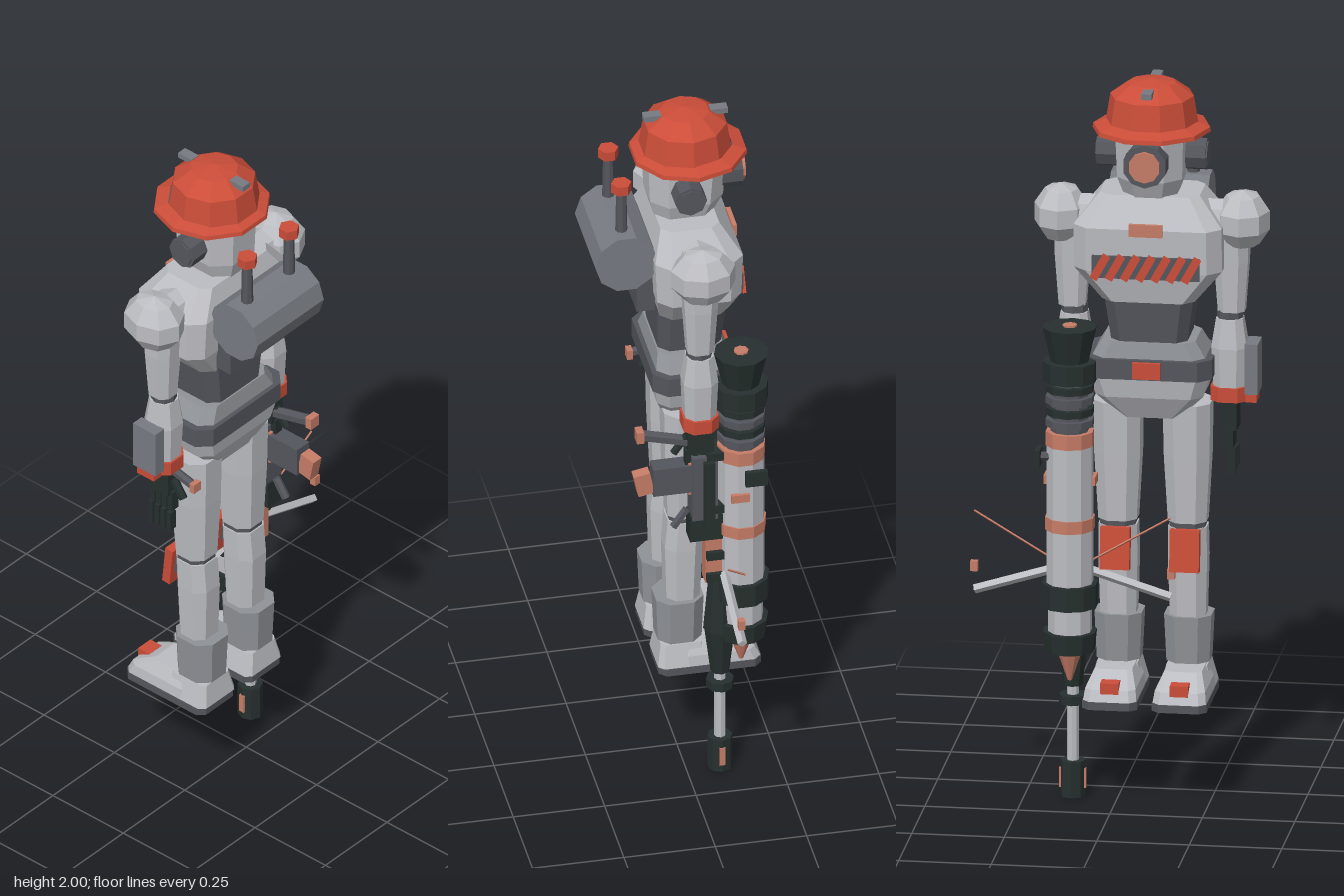
import * as THREE from 'three';

const mat = (name, color, flat = true) => {
  const m = new THREE.MeshStandardMaterial({ color, flatShading: flat });
  m.name = name;
  return m;
};

export function createModel() {
  const light = mat('light armour', 0xbcbdc2), grey = mat('mid grey', 0x8f9297);
  const steel = mat('steel', 0x777b82), dark = mat('dark grey', 0x54565d);
  const black = mat('green black', 0x26302e), red = mat('red', 0xcb4d39);
  const salmon = mat('salmon', 0xc67c67);
  const model = new THREE.Group();
  const CX = -0.085; // centre line of the figure

  const add = (name, geo, m, x = 0, y = 0, z = 0) => {
    const mesh = new THREE.Mesh(geo, m);
    mesh.name = name;
    mesh.position.set(x, y, z);
    model.add(mesh);
    return mesh;
  };
  const box = (name, m, x, y, z, w, h, d) => add(name, new THREE.BoxGeometry(w, h, d), m, x, y, z);
  const cyl = (name, m, x, y, z, rTop, rBot, h, n = 8) =>
    add(name, new THREE.CylinderGeometry(rTop, rBot, h, n), m, x, y, z);
  // straight bar between two points
  const bar = (name, m, a, b, r, n = 6) => {
    const p = new THREE.Vector3(...a), q = new THREE.Vector3(...b);
    const mesh = cyl(name, m, 0, 0, 0, r, r, p.distanceTo(q), n);
    mesh.position.copy(p).lerp(q, 0.5);
    mesh.quaternion.setFromUnitVectors(new THREE.Vector3(0, 1, 0), q.sub(p).normalize());
    return mesh;
  };
  // stack of chamfered rectangles, each [y, halfWidth, halfDepth, zCentre], bottom to top
  const loft = (name, m, x, sections, cut = 0.35) => {
    const rings = sections.map(([y, w, d, cz = 0]) => {
      const c = Math.min(w, d) * cut * 2, u = w - c / 1.4, v = d - c / 1.4;
      return [[w, -v], [w, v], [u, d], [-u, d], [-w, v], [-w, -v], [-u, -d], [u, -d]]
        .map(([px, pz]) => [px, y, pz + cz]);
    });
    const pos = [], tri = (...p) => p.forEach(k => pos.push(...k));
    const mid = s => [0, s[0], s[3] || 0];
    const n = rings.length - 1;
    for (let i = 0; i < 8; i++) {
      const j = (i + 1) % 8;
      for (let k = 0; k < n; k++) {
        const lo = rings[k], hi = rings[k + 1];
        tri(lo[i], hi[i], hi[j], lo[i], hi[j], lo[j]);
      }
      tri(mid(sections[n]), rings[n][j], rings[n][i]);
      tri(mid(sections[0]), rings[0][i], rings[0][j]);
    }
    const g = new THREE.BufferGeometry();
    g.setAttribute('position', new THREE.Float32BufferAttribute(pos, 3));
    g.computeVertexNormals();
    return add(name, g, m, x);
  };

  // helmet
  const lathe = pts => new THREE.LatheGeometry(pts.map(p => new THREE.Vector2(...p)), 10, Math.PI / 2);
  add('helmetDome', lathe([[0.125, 1.88], [0.113, 1.955], [0.065, 1.99], [0, 2]]), red, CX, 0, -0.04);
  add('helmetBrim', lathe([[0, 1.865], [0.16, 1.86], [0.158, 1.872], [0.12, 1.885]]), red, CX, 0, -0.048);
  for (const z of [-0.131, 0.051]) box('helmetClip', steel, CX, 1.98, z, 0.028, 0.016, 0.048);

  // head, ears and single lens
  loft('head', light, CX, [[1.68, 0.07, 0.08, -0.03], [1.735, 0.088, 0.1, -0.035], [1.87, 0.092, 0.108, -0.038]]);
  for (const s of [-1, 1]) {
    cyl('ear', dark, CX + s * 0.12, 1.79, -0.026, 0.044, 0.044, 0.055).rotation.z = Math.PI / 2;
    cyl('earCap', dark, CX + s * 0.145, 1.79, -0.026, 0.036, 0.036, 0.012).rotation.z = Math.PI / 2;
  }
  cyl('lensRing', dark, CX, 1.795, -0.16, 0.06, 0.06, 0.055, 10).rotation.x = Math.PI / 2;
  cyl('lens', salmon, CX, 1.795, -0.19, 0.043, 0.043, 0.016, 10).rotation.x = Math.PI / 2;

  // torso
  loft('chest', light, CX, [[1.40, 0.125, 0.095, -0.045], [1.49, 0.2, 0.115, -0.045],
    [1.61, 0.2, 0.12, -0.045], [1.69, 0.135, 0.08, -0.03]], 0.22);
  loft('abdomen', dark, CX, [[1.26, 0.1, 0.085, -0.035], [1.42, 0.122, 0.095, -0.04]], 0.22);
  loft('waist', grey, CX, [[1.235, 0.155, 0.1, -0.035], [1.285, 0.125, 0.09, -0.035]], 0.22);
  loft('belt', dark, CX, [[1.185, 0.172, 0.112, -0.035], [1.24, 0.172, 0.112, -0.035]], 0.22);
  loft('hips', light, CX, [[1.065, 0.08, 0.065, -0.03], [1.13, 0.145, 0.095, -0.035],
    [1.19, 0.165, 0.105, -0.035]], 0.22);
  box('buckle', red, CX, 1.213, -0.15, 0.075, 0.045, 0.016);
  box('namePlate', salmon, CX, 1.61, -0.167, 0.09, 0.034, 0.012);
  box('stripePanel', dark, CX, 1.505, -0.164, 0.29, 0.062, 0.012);
  for (let i = 0; i < 7; i++) {
    const s = box('stripe', red, CX + (i - 3) * 0.041, 1.505, -0.172, 0.022, 0.075, 0.009);
    s.rotation.z = 0.5;
  }

  // backpack drum and antennae
  cyl('backpackDrum', steel, CX, 1.603, 0.147, 0.086, 0.086, 0.268, 10).rotation.z = Math.PI / 2;
  box('backpackMount', dark, CX, 1.53, 0.09, 0.22, 0.2, 0.05);
  for (const x of [-0.17, 0]) {
    cyl('antenna', dark, x, 1.74, 0.152, 0.014, 0.017, 0.15);
    cyl('antennaCap', red, x, 1.823, 0.152, 0.028, 0.028, 0.028, 6);
  }

  // arms
  for (const s of [-1, 1]) {
    const ax = CX + s * 0.245, wx = CX + s * 0.21;
    const sh = add('shoulder', new THREE.SphereGeometry(0.09, 8, 5), light, ax, 1.615, -0.038);
    sh.scale.set(0.85, 0.92, 1.03);
    bar('shoulderJoint', light, [CX + s * 0.12, 1.61, -0.04], [ax, 1.61, -0.04], 0.06, 8);
    loft('upperArm', light, CX + s * 0.215, [[1.36, 0.036, 0.036, -0.035], [1.5, 0.046, 0.045, -0.035],
      [1.58, 0.046, 0.05, -0.035]]);
    cyl('elbow', dark, wx, 1.348, -0.035, 0.036, 0.036, 0.03);
    loft('forearm', light, wx, [[1.14, 0.042, 0.042, -0.035], [1.26, 0.048, 0.047, -0.035],
      [1.34, 0.036, 0.036, -0.035]]);
    loft('cuff', red, wx, [[1.112, 0.05, 0.048, -0.035], [1.152, 0.05, 0.048, -0.035]]);
    // hand with finger segments
    box('palm', black, wx, 1.07, -0.035, 0.045, 0.08, 0.07);
    for (let f = 0; f < 4; f++) {
      const z = -0.065 + f * 0.021;
      box('fingerBase', black, wx, 1.01, z, 0.026, 0.06, 0.016);
      box('fingerTip', black, wx + s * 0.008, 0.945, z, 0.022, 0.075 - f * 0.006, 0.014);
    }
    bar('thumb', black, [wx, 1.08, 0], [wx, 1.03, 0.035], 0.012);
  }
  box('forearmPod', steel, -0.357, 1.205, -0.035, 0.036, 0.14, 0.08);
  box('podFoot', red, -0.355, 1.122, -0.035, 0.03, 0.024, 0.06);
  bar('wristNozzle', dark, [-0.288, 1.1, 0], [-0.288, 1.085, 0.065], 0.013);
  box('nozzleTip', salmon, -0.288, 1.084, 0.07, 0.028, 0.028, 0.016);

  // legs
  for (const x of [-0.18, 0.008]) {
    loft('thigh', light, x, [[0.765, 0.052, 0.052, -0.02], [0.95, 0.062, 0.062, -0.022],
      [1.1, 0.064, 0.068, -0.025]]);
    loft('kneeJoint', dark, x, [[0.745, 0.048, 0.048, -0.02], [0.77, 0.048, 0.048, -0.02]]);
    loft('shin', light, x, [[0.48, 0.048, 0.045, -0.01], [0.66, 0.053, 0.052, -0.012],
      [0.75, 0.052, 0.05, -0.018]]);
    box('kneePad', red, x, 0.695, -0.088, 0.08, 0.115, 0.026).rotation.x = 0.1;
    box('kneeStrut', dark, x, 0.7, -0.065, 0.05, 0.05, 0.03);
    loft('bootCuff', grey, x, [[0.37, 0.058, 0.06, 0], [0.5, 0.064, 0.065, 0]]);
    loft('shoeHeel', light, x, [[0.3, 0.072, 0.07, -0.005], [0.365, 0.055, 0.06, -0.005]], 0.15);
    loft('shoeToe', light, x, [[0.3, 0.072, 0.108, -0.107], [0.33, 0.068, 0.1, -0.1],
      [0.368, 0.05, 0.06, -0.07]], 0.18);
    loft('sole', dark, x, [[0.278, 0.074, 0.14, -0.077], [0.3, 0.074, 0.14, -0.077]], 0.18);
    box('toeClip', red, x, 0.33, -0.185, 0.05, 0.04, 0.04);
  }

  // launcher tube: [name, material, yBottom, yTop, rBottom, rTop]
  const tx = 0.122, tz = -0.15;
  [['muzzle', black, 1.235, 1.33, 0.052, 0.074], ['muzzleCollar', black, 1.18, 1.235, 0.074, 0.074],
    ['neckTube', dark, 1.04, 1.18, 0.052, 0.052], ['upperBand', salmon, 1.0, 1.04, 0.066, 0.066],
    ['barrel', light, 0.6, 1.0, 0.064, 0.064], ['middleBand', salmon, 0.765, 0.8, 0.068, 0.068],
    ['lowerCollar', black, 0.55, 0.615, 0.077, 0.077], ['lowerBarrel', light, 0.48, 0.55, 0.06, 0.06],
    ['endCollar', black, 0.425, 0.48, 0.068, 0.074], ['endCone', salmon, 0.34, 0.425, 0.006, 0.035],
  ].forEach(([name, m, a, b, r0, r1]) => cyl(name, m, tx, (a + b) / 2, tz, r1, r0, b - a, 10));
  for (let i = 0; i < 4; i++) cyl('bellowsRing', i % 2 ? black : dark, tx, 1.065 + i * 0.032, tz, 0.066, 0.066, 0.02, 10);
  cyl('muzzleBore', salmon, tx, 1.332, tz, 0.02, 0.02, 0.006, 8);
  box('sidePlate', black, 0.203, 0.97, -0.175, 0.014, 0.045, 0.06);
  bar('sidePlateArm', dark, [0.17, 0.97, -0.17], [0.205, 0.97, -0.175], 0.012);

  // receiver and grips between the tube and the hand
  const gz = -0.075;
  box('receiver', dark, tx, 0.92, gz + 0.03, 0.065, 0.2, 0.07);
  box('receiverPlate', salmon, tx, 0.95, gz + 0.068, 0.042, 0.1, 0.01);
  box('magazine', dark, tx, 0.952, 0.03, 0.05, 0.085, 0.13);
  box('magazineEnd', salmon, tx, 0.945, 0.118, 0.034, 0.065, 0.045).rotation.x = 0.2;
  bar('grip', dark, [tx, 1.06, -0.01], [tx, 1.095, 0.12], 0.017);
  box('gripEnd', salmon, tx, 1.097, 0.128, 0.034, 0.034, 0.02);
  box('lowerReceiver', black, tx, 0.79, gz + 0.025, 0.055, 0.08, 0.09);
  bar('trigger', dark, [tx, 0.84, 0], [tx, 0.79, 0.035], 0.012);
  box('foreStock', salmon, tx, 0.68, gz + 0.005, 0.045, 0.14, 0.045);
  for (const y of [0.63, 0.7, 0.85, 1.02]) box('stockClamp', black, tx, y, gz - 0.01, 0.07, 0.025, 0.07);
  for (const s of [-1, 1]) {
    box('receiverRail', black, tx + s * 0.04, 0.9, gz + 0.02, 0.016, 0.22, 0.03);
    box('sideMark', salmon, tx + s * 0.064, 0.9, tz + 0.015, 0.012, 0.024, 0.05);
  }

  // ground spike under the launcher
  const pz = -0.092;
  cyl('spikeHousing', black, tx, 0.53, pz, 0.032, 0.046, 0.16);
  cyl('spikeTaper', black, tx, 0.385, pz, 0.044, 0.026, 0.15);
  cyl('spikeCollar', black, tx, 0.272, pz, 0.038, 0.038, 0.025);
  cyl('spikeRod', light, tx, 0.19, pz, 0.016, 0.016, 0.34);
  cyl('spikeFoot', black, tx, 0.05, pz, 0.034, 0.034, 0.1);
  for (const s of [-1, 1]) box('footMark', salmon, tx + s * 0.033, 0.05, pz, 0.006, 0.055, 0.016);

  // folding side arms with thin stays
  for (const s of [-1, 1]) {
    bar('sideArm', light, [tx + s * 0.03, 0.64, -0.098], [tx + s * 0.265, 0.567, -0.098], 0.013, 4);
    bar('stay', salmon, [tx + s * 0.03, 0.65, -0.106], [tx + s * 0.265, 0.79, -0.106], 0.003, 4);
    box('armMarker', salmon, tx + s * 0.266, 0.632, -0.095, 0.02, 0.028, 0.018);
  }
  return model;
}
